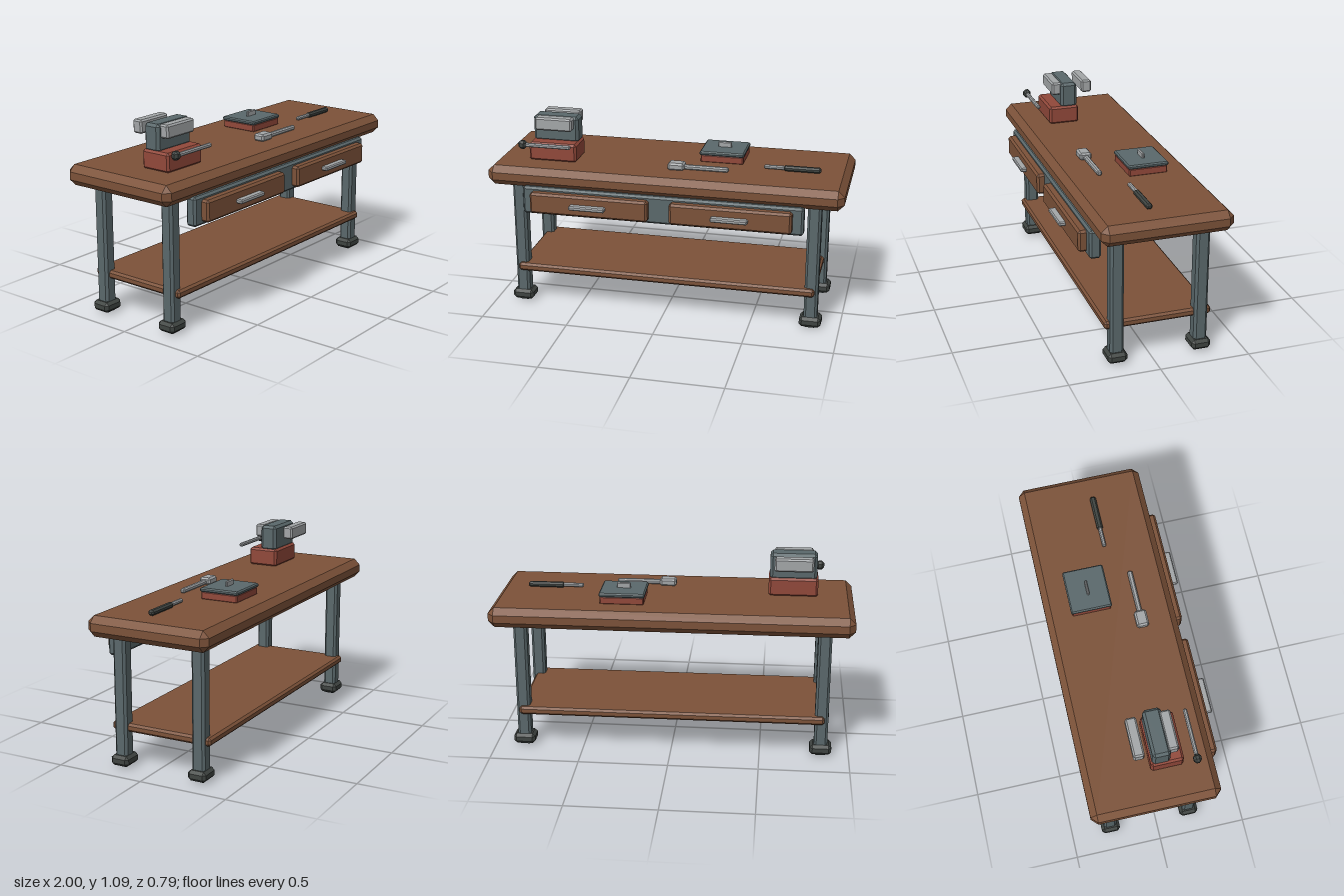
import * as THREE from 'three';
import { ConvexGeometry } from 'three/addons/geometries/ConvexGeometry.js';

const material = (name, color) => {
  const m = new THREE.MeshStandardMaterial({ color });
  m.name = name;
  return m;
};

// Box with all edges cut at 45 degrees
function chamferBox(w, h, d, c) {
  const points = [];
  for (const x of [-w / 2, w / 2])
    for (const y of [-h / 2, h / 2])
      for (const z of [-d / 2, d / 2]) {
        const ix = x - Math.sign(x) * c, iy = y - Math.sign(y) * c, iz = z - Math.sign(z) * c;
        points.push(new THREE.Vector3(x, iy, iz), new THREE.Vector3(ix, y, iz), new THREE.Vector3(ix, iy, z));
      }
  return new ConvexGeometry(points);
}

export function createModel() {
  const wood = material('wood', 0x7c5239);
  const slate = material('slate metal', 0x5a686b);
  const dark = material('dark rubber', 0x3f4441);
  const red = material('red paint', 0x91483a);
  const steel = material('bright steel', 0xa3a6a8);

  const bench = new THREE.Group();
  bench.name = 'workbench';

  const group = (name) => {
    const g = new THREE.Group();
    g.name = name;
    bench.add(g);
    return g;
  };
  // Adds a chamfered block spanning the given ranges
  const block = (parent, name, mat, [x0, x1], [y0, y1], [z0, z1], c) => {
    const mesh = new THREE.Mesh(chamferBox(x1 - x0, y1 - y0, z1 - z0, c), mat);
    mesh.position.set((x0 + x1) / 2, (y0 + y1) / 2, (z0 + z1) / 2);
    mesh.name = name;
    parent.add(mesh);
  };
  const around = (centre, size) => [centre - size / 2, centre + size / 2];

  // Top and lower shelf
  block(bench, 'tabletop', wood, [-1, 1], [0.735, 0.848], [-0.393, 0.316], 0.035);
  block(bench, 'lowerShelf', wood, [-0.857, 0.857], [0.2, 0.246], [-0.335, 0.26], 0.012);

  // Legs with feet
  for (const x of [-0.842, 0.838])
    for (const z of [0.197, -0.272]) {
      const leg = group('leg');
      block(leg, 'post', slate, around(x, 0.075), [0.002, 0.75], around(z, 0.075), 0.013);
      block(leg, 'foot', dark, around(x, 0.122), [0.012, 0.07], around(z, 0.107), 0.016);
    }

  // Drawer rail and the two drawers
  block(bench, 'drawerRail', slate, [-0.79, 0.79], [0.586, 0.745], [0.255, 0.318], 0.012);
  for (const x of [-0.4, 0.394]) {
    const drawer = group('drawer');
    block(drawer, 'drawerFront', wood, around(x, 0.674), [0.605, 0.725], [0.285, 0.361], 0.012);
    block(drawer, 'drawerHandle', steel, around(x, 0.204), [0.654, 0.678], [0.35, 0.396], 0.006);
  }

  // Vise
  const vise = group('vise');
  block(vise, 'viseBase', red, [-0.8, -0.524], [0.845, 0.951], [-0.028, 0.151], 0.012);
  block(vise, 'viseBody', slate, [-0.792, -0.53], [0.94, 1.09], [-0.02, 0.079], 0.015);
  for (const z of [0.095, -0.087])
    block(vise, 'viseJaw', steel, [-0.77, -0.555], [1.016, 1.09], around(z, 0.06), 0.009);
  block(vise, 'viseBar', steel, [-0.81, -0.535], [0.946, 0.968], around(0.216, 0.022), 0.006);
  block(vise, 'viseBarKnob', dark, [-0.836, -0.79], [0.934, 0.981], around(0.216, 0.042), 0.013);

  // Small lidded box
  const box = group('toolBox');
  block(box, 'boxBody', red, [0.155, 0.399], [0.845, 0.89], [-0.247, -0.028], 0.006);
  block(box, 'boxLid', slate, [0.149, 0.403], [0.887, 0.91], [-0.253, -0.023], 0.007);
  block(box, 'lidHandle', steel, [0.236, 0.315], [0.905, 0.94], [-0.145, -0.131], 0.005);

  // Hammer
  const hammer = group('hammer');
  block(hammer, 'hammerHead', steel, [0.004, 0.097], [0.846, 0.888], [0.086, 0.154], 0.01);
  block(hammer, 'hammerHandle', steel, [0.09, 0.344], [0.85, 0.876], [0.106, 0.134], 0.007);

  // Screwdriver
  const driver = group('screwdriver');
  block(driver, 'driverBlade', steel, [0.526, 0.66], [0.853, 0.874], [0.006, 0.028], 0.006);
  block(driver, 'driverGrip', dark, [0.635, 0.843], [0.848, 0.877], [0, 0.034], 0.009);

  return bench;
}
